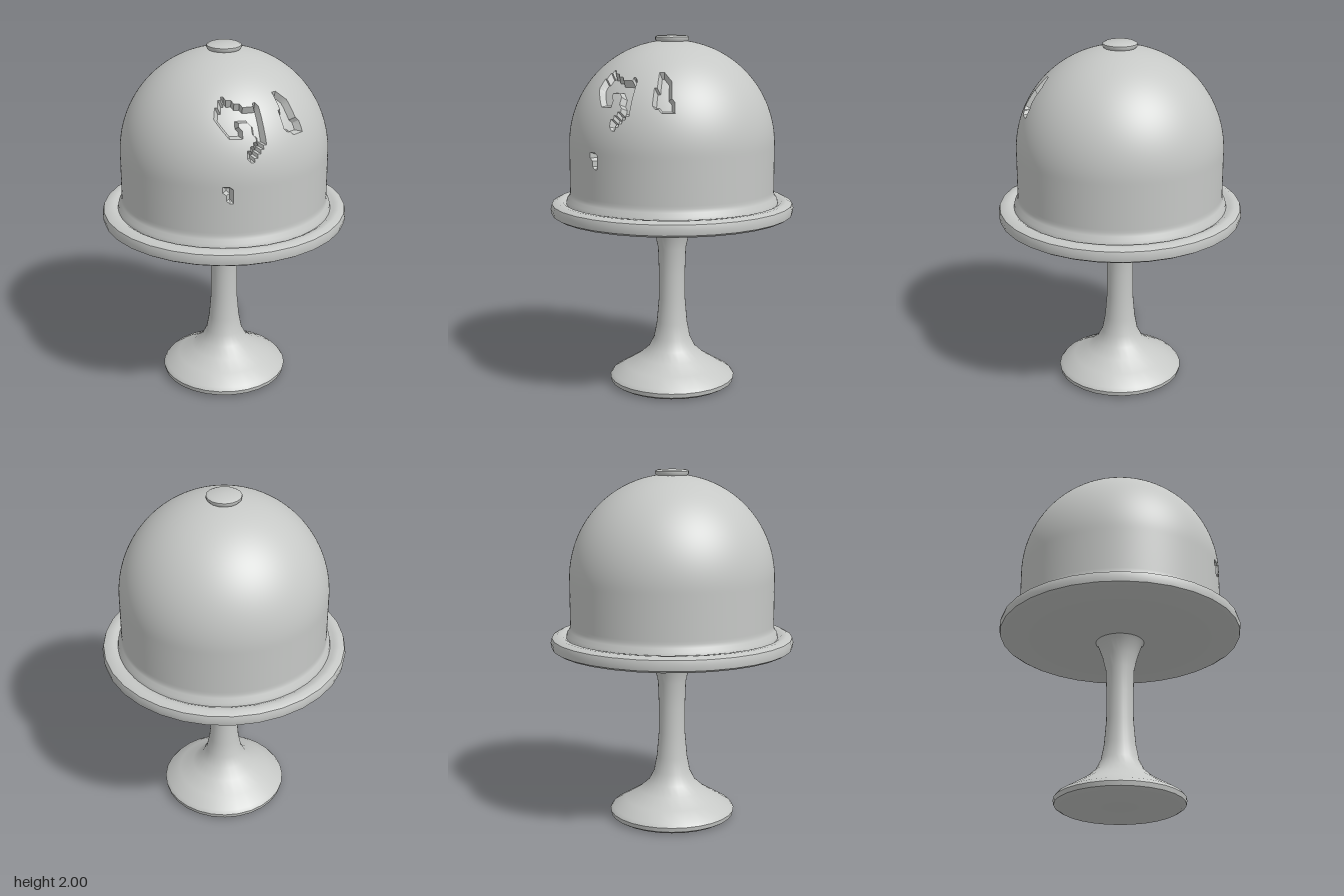
import * as THREE from 'three';
import { toCreasedNormals } from 'three/addons/utils/BufferGeometryUtils.js';

const V = (x, y) => new THREE.Vector2(x, y);
const points = (list) => list.map(([x, y]) => V(x, y));

// Even-odd test of a point against a polygon
function inside(poly, x, y) {
  let hit = false;
  for (let i = 0, j = poly.length - 1; i < poly.length; j = i++) {
    const [ax, ay] = poly[i], [bx, by] = poly[j];
    if ((ay > y) !== (by > y) && x < ((bx - ax) * (y - ay)) / (by - ay) + ax) hit = !hit;
  }
  return hit;
}

// Chipped dents on the front of the dome, as outlines in x and y
const dents = [
  [[-0.22, 1.74], [-0.16, 1.81], [-0.06, 1.77], [0.01, 1.78], [0.01, 1.61], [-0.12, 1.5],
    [-0.03, 1.62], [-0.04, 1.71], [-0.12, 1.72], [-0.11, 1.66], [-0.16, 1.64]],
  [[0.13, 1.82], [0.18, 1.78], [0.25, 1.62], [0.14, 1.65]],
  [[-0.22, 1.39], [-0.17, 1.4], [-0.18, 1.31]],
];

export function createModel() {
  const group = new THREE.Group();
  const ceramic = new THREE.MeshStandardMaterial({ color: 0xc6c8c6 });
  ceramic.name = 'pale grey ceramic';

  const add = (name, geometry, crease = 0.75) => {
    const mesh = new THREE.Mesh(toCreasedNormals(geometry, crease), ceramic);
    mesh.name = name;
    group.add(mesh);
    return mesh;
  };

  // Foot and stem in one turned profile
  add('footAndStem', new THREE.LatheGeometry(points([
    [0, 0.01], [0.33, 0.005], [0.355, 0.02], [0.36, 0.045], [0.345, 0.065], [0.27, 0.11],
    [0.19, 0.16], [0.135, 0.21], [0.105, 0.27], [0.088, 0.36], [0.076, 0.5], [0.075, 0.65],
    [0.08, 0.8], [0.098, 0.88], [0.125, 0.955], [0.15, 0.985],
  ]), 28));

  // Round plate with a soft rim and a shallow groove around the dome
  add('plate', new THREE.LatheGeometry(points([
    [0, 0.968], [0.15, 0.97], [0.45, 0.985], [0.66, 0.997], [0.682, 1.01], [0.687, 1.04],
    [0.68, 1.067], [0.65, 1.082], [0.62, 1.08], [0.6, 1.068], [0.56, 1.065], [0, 1.065],
  ]), 32));

  // Dome: straight wall with a small foot, then a hemisphere
  const profile = points([[0.6, 1.06], [0.595, 1.09], [0.58, 1.11]]);
  for (let i = 0; i <= 18; i++) profile.push(V(0.576, 1.13 + i * 0.015));
  for (let i = 1; i <= 44; i++) {
    const a = (i / 44) * Math.PI / 2;
    profile.push(V(0.576 * Math.cos(a), 1.4 + 0.576 * Math.sin(a)));
  }
  const dome = new THREE.LatheGeometry(profile, 192);
  const pos = dome.attributes.position;
  for (let i = 0; i < pos.count; i++) {
    const x = pos.getX(i), y = pos.getY(i), z = pos.getZ(i);
    if (z > 0 && dents.some((d) => inside(d, x, y))) {
      pos.setXYZ(i, x * 0.94, y - Math.max(0, y - 1.4) * 0.06, z * 0.94);
    }
  }
  add('dome', dome, 0.6);

  // Flat knob on top
  add('knob', new THREE.LatheGeometry(points([
    [0.1, 1.945], [0.085, 1.965], [0.095, 1.978], [0.095, 1.992], [0.08, 2], [0, 2],
  ]), 16));

  return group;
}
